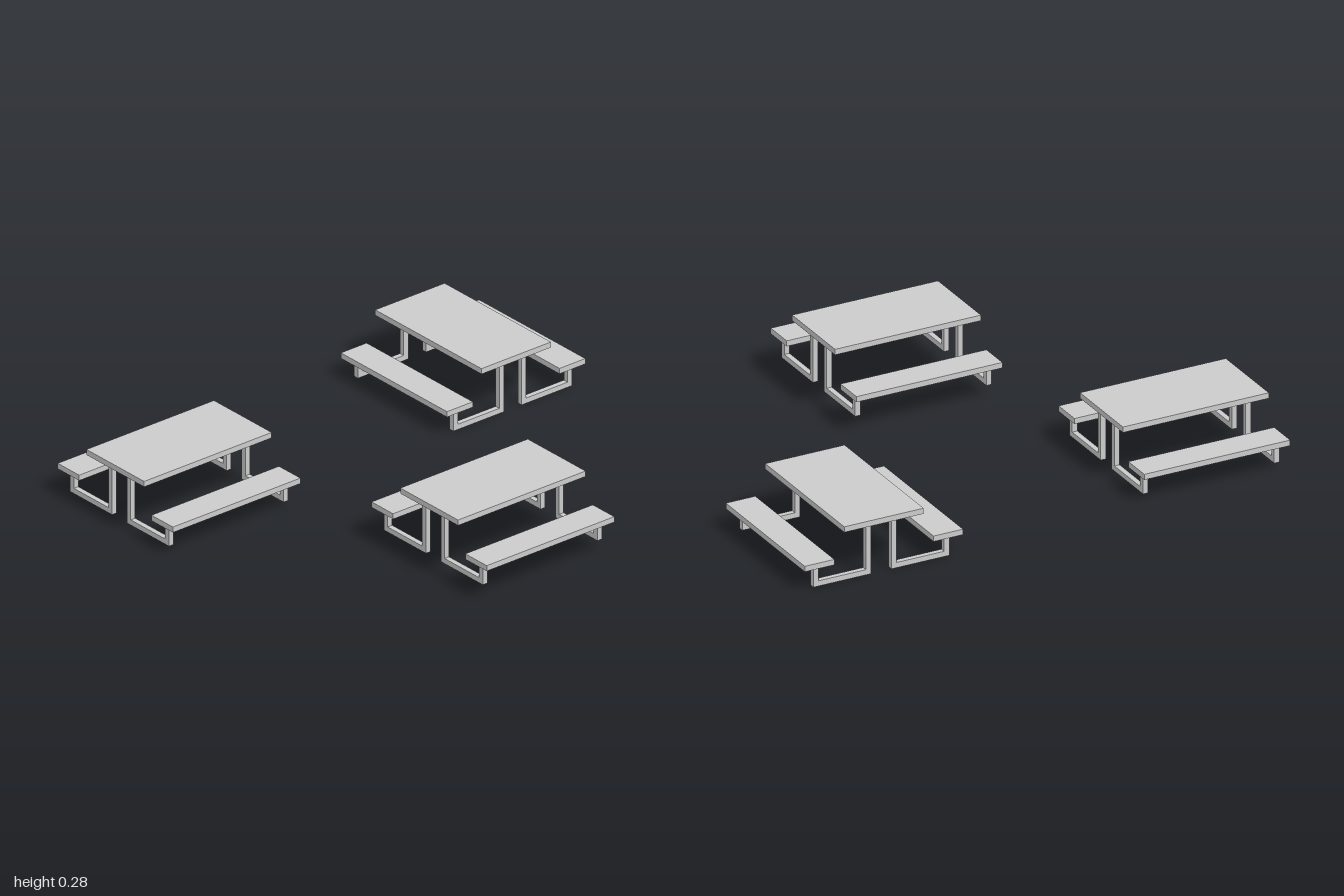
import * as THREE from 'three';

const LENGTH = 0.594; // boards, along local z
const TUBE = 0.021; // square frame tube

export function createModel() {
  const material = new THREE.MeshStandardMaterial({ color: 0xcccccc });

  // Box given by its centre in x and z and its bottom and top heights
  const addBox = (parent, name, width, depth, x, z, bottom, top) => {
    const mesh = new THREE.Mesh(new THREE.BoxGeometry(width, top - bottom, depth), material);
    mesh.name = name;
    mesh.position.set(x, (bottom + top) / 2, z);
    parent.add(mesh);
  };

  // One table with a bench on either side, standing on its own y = 0
  const createTable = () => {
    const table = new THREE.Group();
    table.name = 'picnicTable';
    addBox(table, 'tableTop', 0.323, LENGTH, 0, 0, 0.2, 0.222);

    const inner = 0.052, outer = 0.266;
    for (const side of [-1, 1]) {
      addBox(table, 'bench', 0.12, LENGTH, side * 0.262, 0, 0.08, 0.102);
      // Frame at each end: table leg, foot bar and bench leg
      for (const end of [-1, 1]) {
        const frame = new THREE.Group();
        frame.name = 'legFrame';
        const z = end * 0.267;
        addBox(frame, 'tableLeg', TUBE, TUBE, side * inner, z, 0, 0.2);
        addBox(frame, 'benchLeg', TUBE, TUBE, side * outer, z, 0, 0.08);
        addBox(frame, 'footBar', outer - inner - TUBE, TUBE, side * (inner + outer) / 2, z, 0, TUBE);
        table.add(frame);
      }
    }
    return table;
  };

  // Three tables at slightly different heights, one turned sideways
  const group = new THREE.Group();
  group.name = 'picnicTables';
  const places = [
    { position: [-0.546, 0, -0.678], turn: Math.PI / 2 },
    { position: [-0.476, 0.024, 0.703], turn: 0 },
    { position: [0.52, 0.056, 0.071], turn: 0 },
  ];
  for (const { position, turn } of places) {
    const table = createTable();
    table.position.set(...position);
    table.rotation.y = turn;
    group.add(table);
  }
  return group;
}
